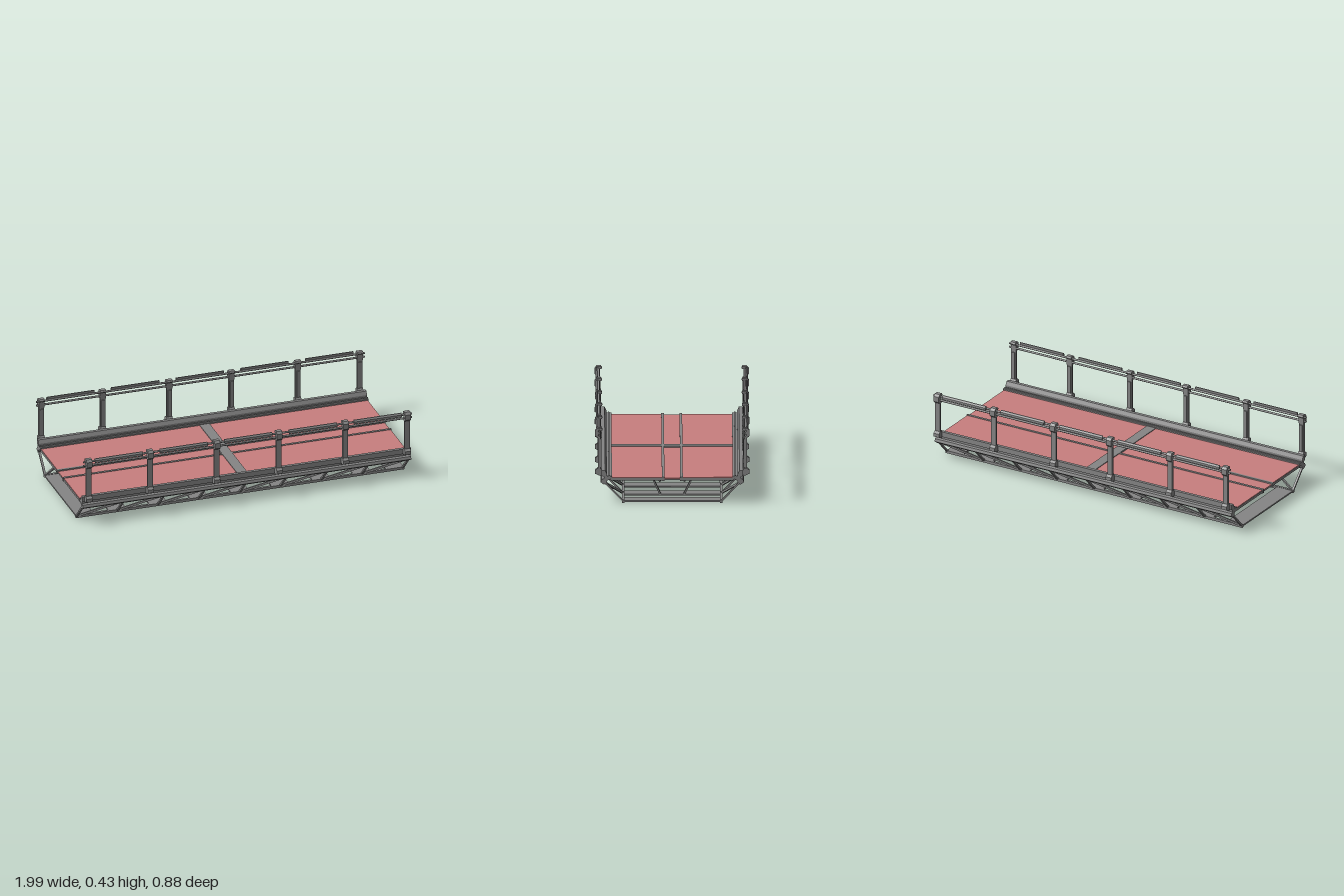
import * as THREE from 'three';

const grey = new THREE.MeshStandardMaterial({ color: 0x858585 });
grey.name = 'steelGrey';
const red = new THREE.MeshStandardMaterial({ color: 0xc97f7f });
red.name = 'deckRed';

export function createModel() {
  const root = new THREE.Group();
  root.name = 'bridgeSection';

  const add = (parent, name, geo, mat = grey) => {
    const m = new THREE.Mesh(geo, mat);
    m.name = name;
    parent.add(m);
    return m;
  };
  // box given by its limits on each axis
  const box = (parent, name, x0, x1, y0, y1, z0, z1, mat) => {
    const m = add(parent, name, new THREE.BoxGeometry(x1 - x0, y1 - y0, Math.abs(z1 - z0)), mat);
    m.position.set((x0 + x1) / 2, (y0 + y1) / 2, (z0 + z1) / 2);
    return m;
  };
  // straight bar from a to b
  const bar = (parent, name, a, b, w, t) => {
    const p = new THREE.Vector3(...a), q = new THREE.Vector3(...b);
    const m = add(parent, name, new THREE.BoxGeometry(w, t, p.distanceTo(q)));
    m.position.copy(p).lerp(q, 0.5);
    m.lookAt(q);
    return m;
  };
  // (z, y) outline swept along x, centred on x
  const sweep = (parent, name, pts, x, len, s) => {
    const shape = new THREE.Shape(pts.map(([z, y]) => new THREE.Vector2(-z * s, y)));
    const g = new THREE.ExtrudeGeometry(shape, { depth: len, bevelEnabled: false });
    g.translate(0, 0, -len / 2);
    g.rotateY(Math.PI / 2);
    const m = add(parent, name, g);
    m.position.x = x;
    return m;
  };

  const curb = [[0.405, 0.189], [0.385, 0.189], [0.375, 0.168], [0.375, 0.156], [0.346, 0.156],
    [0.346, 0.143], [0.374, 0.129], [0.374, 0.119], [0.392, 0.106], [0.411, 0.12],
    [0.406, 0.136], [0.393, 0.141], [0.393, 0.152], [0.405, 0.158]];
  const head = [[0.428, 0.376], [0.442, 0.388], [0.442, 0.42], [0.43, 0.433], [0.406, 0.433],
    [0.4, 0.424], [0.403, 0.416], [0.411, 0.416], [0.411, 0.376]];
  const foot = [[0.428, 0.199], [0.442, 0.188], [0.442, 0.167], [0.412, 0.154], [0.4, 0.164],
    [0.4, 0.182], [0.412, 0.199]];
  const cap = [[0.424, 0.41], [0.437, 0.41], [0.437, 0.424], [0.43, 0.433], [0.424, 0.433]];
  const postX = [-0.965, -0.593, -0.19, 0.187, 0.59, 0.965];

  for (const s of [1, -1]) {
    const side = new THREE.Group();
    side.name = s > 0 ? 'frontSide' : 'backSide';
    root.add(side);

    // edge beam with a raised ridge
    sweep(side, 'edgeBeam', curb, 0, 1.99, s);
    box(side, 'edgeBeamRidge', -0.995, 0.995, 0.148, 0.16, s * 0.358, s * 0.366);

    // railing posts
    for (const x of postX) {
      sweep(side, 'postHead', head, x, 0.034, s);
      box(side, 'post', x - 0.016, x + 0.016, 0.19, 0.385, s * 0.413, s * 0.427);
      box(side, 'postWeb', x - 0.01, x + 0.01, 0.203, 0.368, s * 0.407, s * 0.414);
      sweep(side, 'postFoot', foot, x, 0.036, s);
    }
    // rail tubes and cap segments
    for (const y of [0.416, 0.393]) {
      const tube = add(side, 'railTube', new THREE.CylinderGeometry(0.006, 0.006, 1.99, 12));
      tube.rotation.z = Math.PI / 2;
      tube.position.set(0, y, s * 0.419);
    }
    for (let i = -2; i <= 2; i++) sweep(side, 'railCap', cap, i * 0.392, 0.29, s);

    // sloping side truss
    box(side, 'bottomChord', -0.995, 0.995, 0, 0.016, s * 0.273, s * 0.288);
    for (let i = 0; i <= 8; i++) {
      const x = -0.988 + i * 0.247;
      bar(side, 'trussUpright', [x, 0.01, s * 0.281], [x, 0.116, s * 0.384], 0.013, 0.01);
      if (i < 8) bar(side, 'trussDiagonal', [x, 0.01, s * 0.281], [x + 0.247, 0.114, s * 0.382], 0.01, 0.012);
    }

    // inner struts under the deck
    for (let i = -2; i <= 2; i++) {
      bar(side, 'innerStrut', [i * 0.385, 0.012, s * 0.069], [i * 0.385, 0.134, s * 0.128], 0.036, 0.009);
    }

    // deck stringers beside the centre strip
    box(side, 'deckStringer', -0.995, 0.995, 0.128, 0.151, s * 0.045, s * 0.06);

    // deck panels
    for (const d of [1, -1]) {
      const x0 = Math.min(d * 0.03, d * 0.99), x1 = Math.max(d * 0.03, d * 0.99);
      box(side, 'deckPanel', x0, x1, 0.144, 0.148, s * 0.06, s * 0.355, red);
    }
    box(side, 'deckUnderside', -0.992, 0.992, 0.13, 0.144, s * 0.06, s * 0.355);
  }

  // centre strip and middle cross beam
  for (const d of [1, -1]) {
    box(root, 'centreStrip', d > 0 ? 0.03 : -0.99, d > 0 ? 0.99 : -0.03, 0.139, 0.143, -0.045, 0.045, red);
  }
  box(root, 'centreStripUnderside', -0.99, 0.99, 0.132, 0.139, -0.045, 0.045);
  box(root, 'middleCrossBeam', -0.03, 0.03, 0.129, 0.152, -0.356, 0.356);

  // flat cross ties between the bottom chords
  for (let i = 0; i <= 8; i++) {
    const x = THREE.MathUtils.clamp(-0.988 + i * 0.247, -0.94, 0.94);
    box(root, 'crossTie', x - 0.053, x + 0.053, 0.005, 0.014, -0.275, 0.275);
  }

  return root;
}
